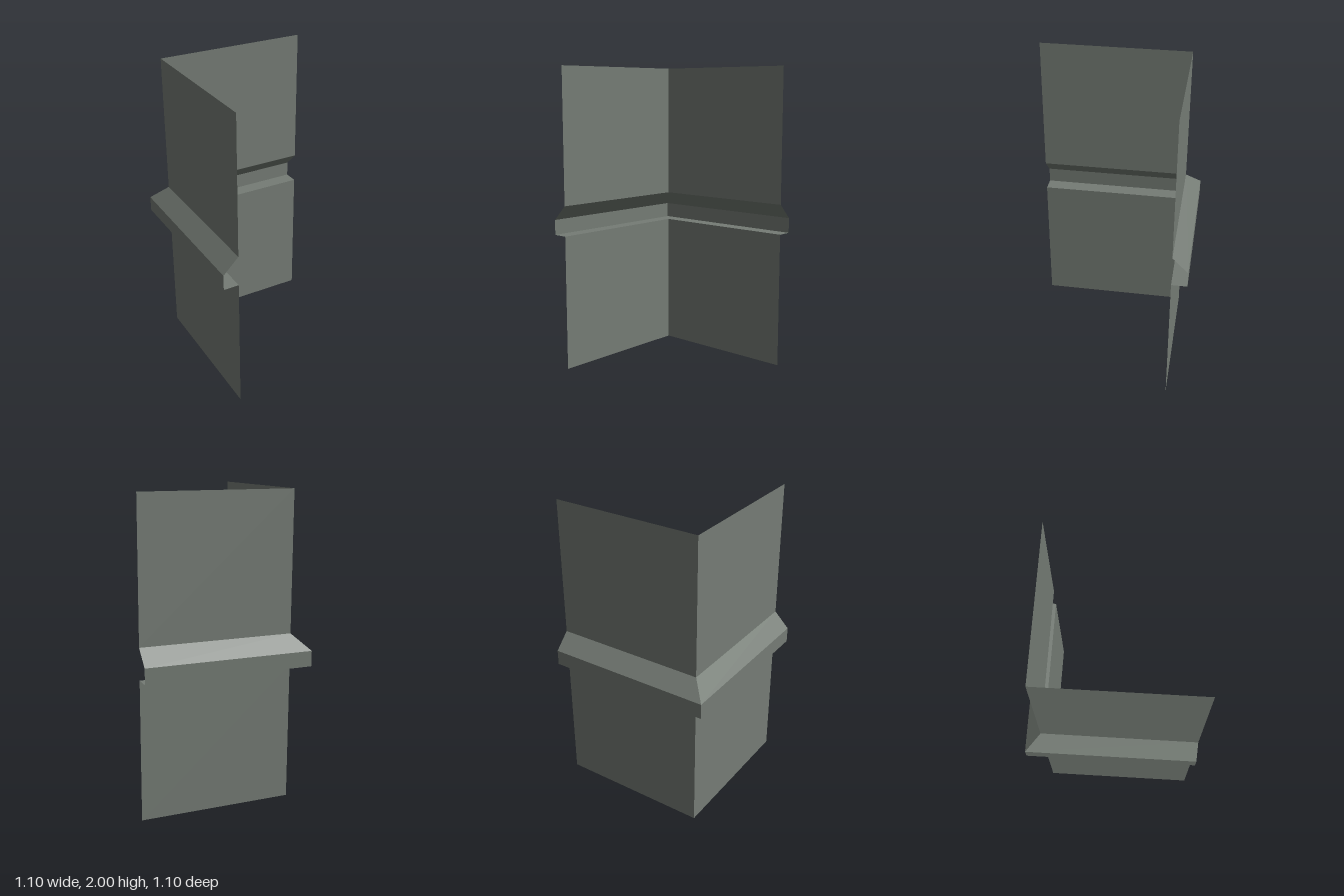
import * as THREE from 'three';

const END = 0.55;    // free ends of both wings
const WALL = -0.45;  // plane of the wall sheets

// Sweeps a profile of [outward offset, height] points around the mitred corner
function cornerSheet(name, profile, material) {
  const path = (d) => [
    [END, WALL - d],
    [WALL - d, WALL - d],
    [WALL - d, END],
  ];
  const positions = [];
  for (let i = 0; i < profile.length - 1; i++) {
    const [d0, y0] = profile[i];
    const [d1, y1] = profile[i + 1];
    const low = path(d0).map(([x, z]) => [x, y0, z]);
    const high = path(d1).map(([x, z]) => [x, y1, z]);
    for (let k = 0; k < 2; k++) {
      positions.push(...low[k], ...low[k + 1], ...high[k + 1]);
      positions.push(...low[k], ...high[k + 1], ...high[k]);
    }
  }
  const geometry = new THREE.BufferGeometry();
  geometry.setAttribute('position', new THREE.Float32BufferAttribute(positions, 3));
  geometry.computeVertexNormals();
  const mesh = new THREE.Mesh(geometry, material);
  mesh.name = name;
  return mesh;
}

export function createModel() {
  const stone = new THREE.MeshStandardMaterial({ color: 0x757c75, side: THREE.DoubleSide });
  stone.name = 'grey stone';

  const group = new THREE.Group();
  group.name = 'cornerWall';
  group.add(
    cornerSheet('lowerWall', [[0, 0], [0, 0.9]], stone),
    // Hollow ledge: flat underside, upright face, sloping top
    cornerSheet('ledge', [[0, 0.9], [0.1, 0.9], [0.1, 1], [0, 1.1]], stone),
    cornerSheet('upperWall', [[0, 1.1], [0, 2]], stone),
  );
  return group;
}
